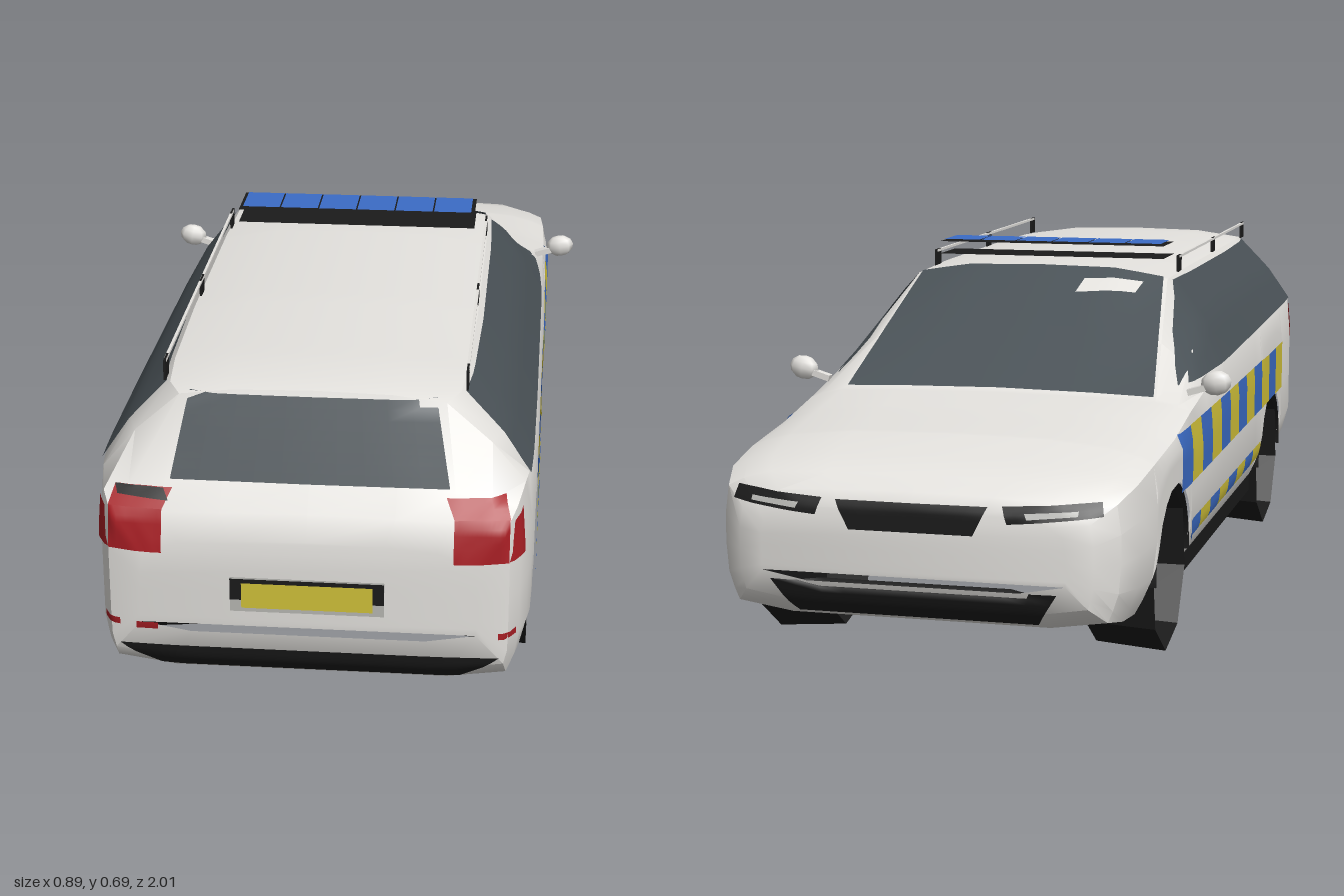
import * as THREE from 'three';
import { mergeGeometries, toCreasedNormals } from 'three/addons/utils/BufferGeometryUtils.js';

// Stations along z: z, top y, shoulder half-width, shoulder y, belt y, half-width, bottom y
const STATIONS = [
  [-1.0, 0.335, 0.2, 0.33, 0.3, 0.27, 0.2],
  [-0.985, 0.362, 0.24, 0.354, 0.32, 0.315, 0.16],
  [-0.95, 0.385, 0.27, 0.378, 0.35, 0.355, 0.13],
  [-0.88, 0.405, 0.29, 0.395, 0.37, 0.375, 0.115],
  [-0.77, 0.425, 0.3, 0.41, 0.385, 0.382, 0.1],
  [-0.6, 0.437, 0.31, 0.425, 0.4, 0.385, 0.1],
  [-0.44, 0.452, 0.31, 0.445, 0.425, 0.385, 0.1],
  [-0.1, 0.655, 0.263, 0.635, 0.465, 0.385, 0.1],
  [0.1, 0.663, 0.265, 0.64, 0.47, 0.385, 0.1],
  [0.5, 0.662, 0.265, 0.64, 0.48, 0.385, 0.1],
  [0.75, 0.656, 0.26, 0.638, 0.487, 0.383, 0.105],
  [0.85, 0.652, 0.252, 0.635, 0.49, 0.38, 0.115],
  [0.89, 0.644, 0.23, 0.63, 0.49, 0.375, 0.12],
  [0.95, 0.495, 0.25, 0.49, 0.472, 0.363, 0.135],
  [0.985, 0.455, 0.25, 0.45, 0.44, 0.345, 0.17],
  [1.0, 0.41, 0.22, 0.4, 0.37, 0.29, 0.23],
];
const WHEELS = [{ name: 'Front', z: -0.618, y: 0.165, r: 0.152 }, { name: 'Rear', z: 0.545, y: 0.157, r: 0.156 }];
const ARCH = 0.156;

function station(z) {
  let i = 0;
  while (i < STATIONS.length - 2 && z > STATIONS[i + 1][0]) i++;
  const a = STATIONS[i], b = STATIONS[i + 1], t = (z - a[0]) / (b[0] - a[0]);
  return a.map((v, k) => v + (b[k] - v) * t);
}

// Sides tuck in towards the sill
const tuck = (y) => (y > 0.22 ? 1 : 1 - 0.13 * ((0.22 - y) / 0.12) ** 1.5);

// Full cross-section from one lower edge over the top to the other, rising over the wheel arches
function ring(z) {
  const [, T, R, E, B, W, bottom] = station(z);
  let low = bottom + 0.015;
  for (const w of WHEELS) {
    const d = Math.abs(z - w.z);
    if (d < ARCH) low = Math.max(low, w.y + Math.sqrt(ARCH * ARCH - d * d));
  }
  const half = [[R * 0.6, T - 0.003], [R, E], [(R + W * 0.98) / 2 + 0.01, (E + B) / 2], [W * 0.98, B]];
  for (const t of [0.25, 0.5, 0.75, 0.9, 1]) {
    const y = B + (low - B) * t;
    half.push([W * tuck(y), y]);
  }
  return [...half.map(([x, y]) => [-x, y, z]).reverse(), [0, T, z], ...half.map(([x, y]) => [x, y, z])];
}

// Surface through rows of points
function grid(rows) {
  const n = rows[0].length, index = [];
  for (let i = 0; i < rows.length - 1; i++)
    for (let j = 0; j < n - 1; j++) {
      const a = i * n + j, b = a + n;
      index.push(a, b, a + 1, b, b + 1, a + 1);
    }
  const g = new THREE.BufferGeometry();
  g.setAttribute('position', new THREE.Float32BufferAttribute(rows.flat(2), 3));
  g.setIndex(index);
  g.computeVertexNormals();
  return g;
}

function bodyGeometry() {
  const zs = STATIONS.map((s) => s[0]);
  for (let z = -0.3; z < 0.85; z += 0.2) zs.push(z + 0.013);
  for (const w of WHEELS)
    for (const d of [0.157, 0.155, 0.14, 0.115, 0.08, 0.04]) zs.push(w.z - d, w.z + d);
  zs.sort((a, b) => a - b);
  const rings = zs.map(ring);
  const cap = (r, flip) => grid(r.slice(0, (r.length + 1) / 2).map((p, j) => {
    const q = r[r.length - 1 - j];
    return flip ? [q, p] : [p, q];
  }));
  const floor = zs.map((z) => {
    const s = station(z), y = s[6], edge = s[5] * tuck(y + 0.015), flat = edge * 0.7;
    return [[edge, y + 0.015, z], [flat, y, z], [0, y, z], [-flat, y, z], [-edge, y + 0.015, z]];
  });
  const parts = [grid(rings), cap(rings[0], false), cap(rings[rings.length - 1], true), grid(floor)];
  return toCreasedNormals(mergeGeometries(parts), 0.6);
}

export function createModel() {
  const car = new THREE.Group();
  car.name = 'estateCar';
  const material = (name, color, side = THREE.DoubleSide) =>
    Object.assign(new THREE.MeshStandardMaterial({ color, side }), { name });
  const white = material('white paint', 0xe4e2de, THREE.FrontSide);
  const glass = material('dark glass', 0x4a5257);
  const black = material('black trim', 0x1b1b1b);
  const red = material('red lamp', 0xa81e24);
  const yellow = material('yellow', 0xd2c23a);
  const blue = material('blue', 0x3c6cc6);
  const grey = material('grey trim', 0xb8b8b4);

  const add = (name, geometry, mat, x = 0, y = 0, z = 0) => {
    const m = new THREE.Mesh(geometry, mat);
    m.name = name;
    m.position.set(x, y, z);
    car.add(m);
    return m;
  };
  const body = add('body', bodyGeometry(), white);
  const caster = new THREE.Raycaster();

  // Thin panel laid on the body: corners [u, v] go round the panel; axis is the side it is seen from
  // x axis: (u, v) = (z, y); y axis: (x, z); z axis: (x, y)
  function panel(name, mat, axis, sign, corners, nu = 10, nv = 6, lift = 0.004, fallback = 0.384) {
    const place = (u, v, d) => (axis === 'x' ? [d, v, u] : axis === 'y' ? [u, d, v] : [u, v, d]);
    const [a, b, c, d] = corners, rows = [];
    for (let i = 0; i <= nv; i++) {
      const row = [], t = i / nv;
      for (let j = 0; j <= nu; j++) {
        const s = j / nu;
        const [u, v] = [0, 1].map((k) =>
          (a[k] * (1 - s) + b[k] * s) * (1 - t) + (d[k] * (1 - s) + c[k] * s) * t + 0.0001);
        caster.set(new THREE.Vector3(...place(u, v, 3 * sign)), new THREE.Vector3(...place(0, 0, -sign)));
        const hit = caster.intersectObject(body)[0];
        row.push(place(u, v, (hit ? hit.point[axis] : sign * fallback) + sign * lift));
      }
      rows.push(row);
    }
    add(name, grid(rows), mat);
  }
  const box = (u0, u1, v0, v1) => [[u0, v1], [u1, v1], [u1, v0], [u0, v0]];

  // Windows, with a bright patch on the windscreen
  panel('windscreen', glass, 'y', 1, [[-0.305, -0.44], [0.305, -0.44], [0.255, -0.1], [-0.255, -0.1]], 10, 8);
  panel('windscreenPatch', white, 'y', 1, [[-0.1, -0.14], [-0.22, -0.13], [-0.21, -0.165], [-0.09, -0.18]], 4, 3, 0.008);
  panel('rearWindow', glass, 'z', 1, [[-0.213, 0.635], [0.213, 0.635], [0.24, 0.497], [-0.24, 0.497]], 10, 8, 0.004, 0.89);

  // Chequered side markings; cells run from the tail to the nose
  const cell = (i) => [0.68 - i * 0.105, 0.575 - i * 0.105];
  const upper = (i) => (i % 2 ? blue : yellow);
  const lower = (i) => (i % 2 ? yellow : blue);
  for (let i = 0; i < 12; i++) {
    panel('rightUpperCheck', upper(i), 'x', -1, box(...cell(i), 0.297, 0.405), 6, 4);
    if (i > 2 && i < 11) panel('rightLowerCheck', lower(i), 'x', -1, box(...cell(i), 0.185, 0.222), 4, 3);
  }
  // The left side is partly hidden: cell, bottom edge at its tail end and at its nose end
  for (const [i, y0, y1] of [[0, 0.3, 0.36], [1, 0.35, 0.39], [2, 0.3, 0.3], [6, 0.39, 0.365], [7, 0.365, 0.34],
    [8, 0.34, 0.3], [9, 0.3, 0.3], [10, 0.3, 0.3], [11, 0.3, 0.3]]) {
    const [z0, z1] = cell(i);
    panel('leftUpperCheck', upper(i), 'x', 1, [[z0, 0.405], [z1, 0.405], [z1, y1], [z0, y0]], 6, 4);
  }
  // Lower row: cell, top edge at its tail end and at its nose end
  for (const [i, y0, y1] of [[0, 0.29, 0.29], [1, 0.29, 0.29], [2, 0.29, 0.29], [4, 0.205, 0.215], [5, 0.205, 0.205],
    [6, 0.21, 0.205], [7, 0.21, 0.215], [8, 0.215, 0.235], [9, 0.24, 0.255], [10, 0.25, 0.27], [11, 0.28, 0.28]]) {
    const z0 = Math.min(cell(i)[0], 0.65), z1 = i === 2 ? 0.41 : cell(i)[1];
    panel('leftLowerCheck', lower(i), 'x', 1, [[z0, y0], [z1, y1], [z1, 0.185], [z0, 0.185]], 6, 4);
  }
  panel('leftMiddleCheck', blue, 'x', 1, [[-0.16, 0.298], [-0.36, 0.298], [-0.4, 0.275], [-0.3, 0.27]], 6, 3);

  for (const s of [1, -1]) {
    const side = s > 0 ? 'left' : 'right';
    const across = (points) => points.map(([x, y]) => [s * x, y]);
    panel(side + 'SideWindow', glass, 'x', s, [[0.838, 0.632], [-0.08, 0.632], [-0.37, 0.462], [0.855, 0.49]], 24, 6);
    add(side + 'Sill', new THREE.BoxGeometry(0.03, 0.035, 0.82), black, s * 0.345, 0.125, -0.035);

    // Tail lamps, wrapping round the corner, and head lamps
    const lamp = across([[0.235, 0.485], [0.335, 0.485], [0.345, 0.455], [0.25, 0.455]]);
    panel(side + 'TailLampTop', red, 'z', 1, lamp, 8, 4, 0.005, 0.95);
    panel(side + 'TailLamp', red, 'z', 1, across(box(0.25, 0.344, 0.382, 0.455)), 12, 6, 0.005, 0.97);
    panel(side + 'TailLampSide', red, 'x', s, [[0.935, 0.467], [0.968, 0.452], [0.986, 0.382], [0.94, 0.382]], 6, 4, 0.005, 0.345);
    panel(side + 'Reflector', red, 'z', 1, across(box(0.328, 0.358, 0.235, 0.247)), 3, 2, 0.004, 0.965);
    const slit = across([[0.16, 0.347], [0.325, 0.356], [0.33, 0.333], [0.17, 0.318]]);
    panel(side + 'HeadLamp', black, 'z', -1, slit, 8, 4, 0.004, 0.97);
    const lens = across([[0.2, 0.338], [0.29, 0.343], [0.29, 0.335], [0.205, 0.328]]);
    panel(side + 'HeadLampLens', grey, 'z', -1, lens, 6, 3, 0.007, 0.97);

    // Door mirror
    const mirror = add(side + 'Mirror', new THREE.SphereGeometry(1, 8, 6), white, s * 0.415, 0.472, -0.385);
    mirror.scale.set(0.03, 0.024, 0.018);
    mirror.rotation.z = s * 0.2;
    const stalk = add(side + 'MirrorStalk', new THREE.BoxGeometry(0.04, 0.012, 0.018), white, s * 0.38, 0.458, -0.385);
    stalk.rotation.z = s * 0.3;

    // Roof rail on three thin mounts
    add(side + 'RoofRail', new THREE.BoxGeometry(0.005, 0.005, 0.82), white, s * 0.262, 0.669, 0.43);
    for (const z of [0.83, 0.43, 0.03])
      add(side + 'RailMount', new THREE.BoxGeometry(0.004, 0.036, 0.035), black, s * 0.262, 0.654, z);

    // Hollow tyres under dark arch liners
    for (const w of WHEELS) {
      const tyre = new THREE.CylinderGeometry(w.r, w.r - 0.01, 0.13, 8, 1, true).toNonIndexed();
      tyre.computeVertexNormals();
      add(side + w.name + 'Tyre', tyre.rotateY(s * 0.2).rotateZ(-s * Math.PI / 2), black, s * 0.308, w.y, w.z);
      const liner = new THREE.CylinderGeometry(ARCH, ARCH, 0.14, 16, 1, true, 0, Math.PI).rotateZ(Math.PI / 2);
      add(side + w.name + 'ArchLiner', liner, black, s * 0.31, w.y, w.z);
    }
  }
  panel('rightInnerReflector', red, 'z', 1, box(-0.298, -0.26, 0.233, 0.246), 3, 2, 0.004, 0.99);
  panel('rightTailLampTrim', black, 'z', 1, [[-0.335, 0.486], [-0.25, 0.485], [-0.24, 0.468], [-0.33, 0.472]], 6, 3, 0.008, 0.95);

  // Rear number plate and lower bumper
  panel('plateSurround', grey, 'z', 1, box(-0.133, 0.133, 0.275, 0.34), 4, 3, 0.003, 1);
  panel('plateRecess', black, 'z', 1, box(-0.133, 0.133, 0.298, 0.338), 4, 3, 0.005, 1);
  panel('numberPlate', yellow, 'z', 1, box(-0.113, 0.113, 0.284, 0.331), 4, 3, 0.007, 1);
  panel('rearBumperInsert', black, 'z', 1, [[-0.33, 0.198], [0.33, 0.198], [0.25, 0.132], [-0.25, 0.132]], 14, 6, 0.004, 0.93);

  // Nose openings
  panel('grille', black, 'z', -1, [[-0.135, 0.345], [0.135, 0.345], [0.11, 0.295], [-0.11, 0.295]], 8, 6, 0.004, 0.99);
  panel('lowerIntake', black, 'z', -1, [[-0.255, 0.2], [0.255, 0.2], [0.215, 0.137], [-0.215, 0.137]], 12, 6, 0.004, 0.97);

  // Light bar: thin dark plate on the roof, dark tray and six blue lenses above it
  const sheet = (name, w, d, mat, x, y) => add(name, new THREE.PlaneGeometry(w, d).rotateX(-Math.PI / 2), mat, x, y, 0.03);
  sheet('lightBarBase', 0.48, 0.112, black, 0, 0.668);
  sheet('lightBarTray', 0.48, 0.112, black, 0, 0.694);
  for (let i = 0; i < 6; i++) sheet('lightBarLens', 0.075, 0.092, blue, (i - 2.5) * 0.078, 0.698);
  return car;
}
